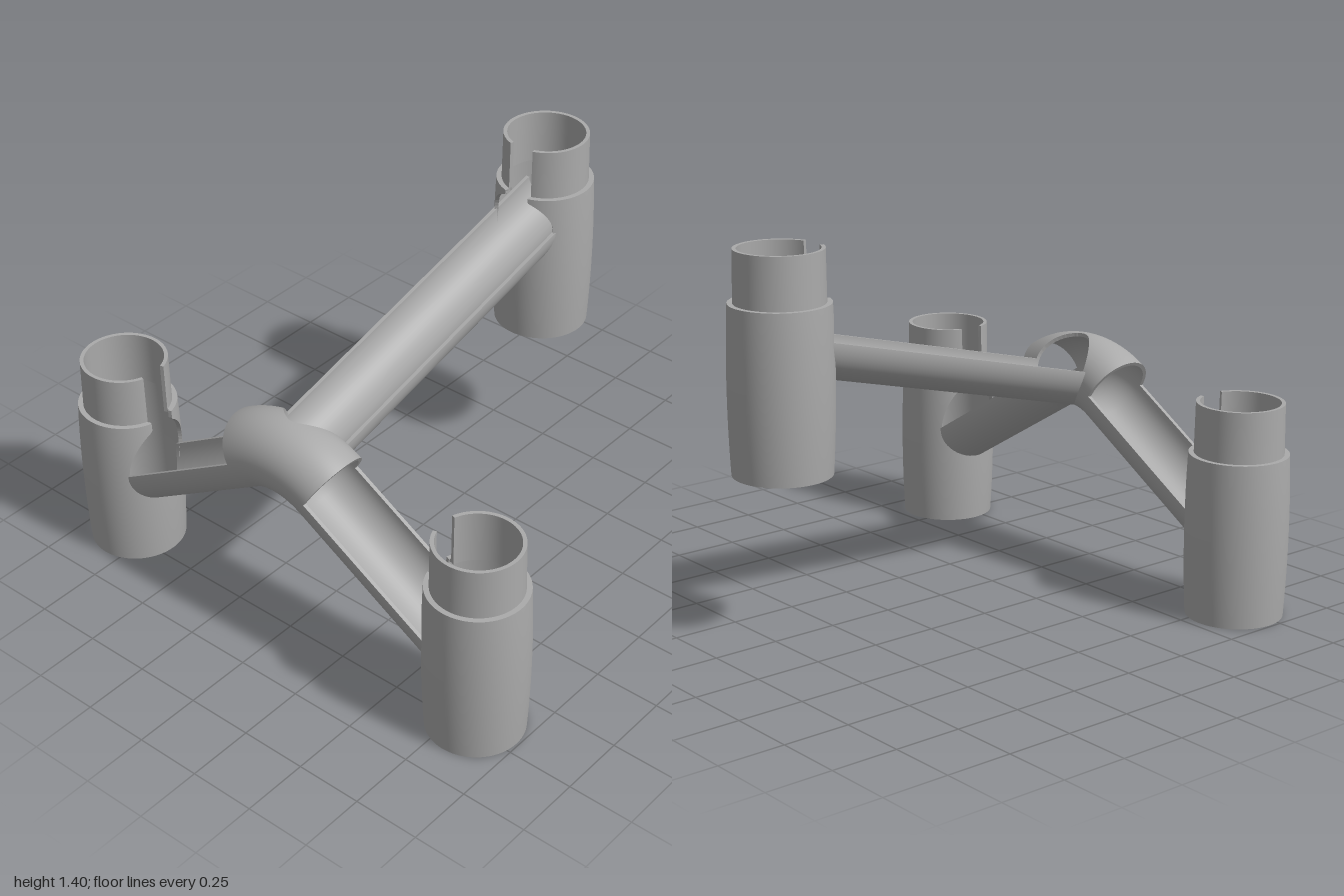
import * as THREE from 'three';

const V = (x, y, z) => new THREE.Vector3(x, y, z);
const WALL = 0.014;
const UP = V(0, 1, 0);

// Cut a polygon, keeping the side where keep(p) >= 0
function clip(poly, keep) {
  const out = [];
  poly.forEach((a, i) => {
    const b = poly[(i + 1) % poly.length];
    const fa = keep(a.p), fb = keep(b.p);
    if (fa >= 0) out.push(a);
    if ((fa >= 0) !== (fb >= 0)) {
      const t = fa / (fa - fb);
      out.push({ p: a.p.clone().lerp(b.p, t), n: a.n.clone().lerp(b.n, t).normalize() });
    }
  });
  return out;
}

// Walled shell: outer surface point(u, v), trimmed by the cuts, with inner skin and rims
function shell(point, nu, nv, cuts = []) {
  const pos = [], nor = [], edges = new Map();
  const h = 1e-4;
  const sample = (i, j) => {
    const u = i / nu, v = j / nv;
    const du = point(u + h, v).sub(point(u - h, v));
    const dv = point(u, v + h).sub(point(u, v - h));
    return { p: point(u, v), n: du.cross(dv).normalize() };
  };
  const put = (p, n) => { pos.push(p.x, p.y, p.z); nor.push(n.x, n.y, n.z); };
  const inner = (a) => a.p.clone().addScaledVector(a.n, -WALL);
  const key = (a) => a.p.toArray().map((c) => Math.round(c * 2e4)).join();

  const grid = [];
  for (let i = 0; i <= nu; i++) {
    grid.push([]);
    for (let j = 0; j <= nv; j++) grid[i].push(sample(i, j));
  }
  for (let i = 0; i < nu; i++) for (let j = 0; j < nv; j++) {
    const a = grid[i][j], b = grid[i + 1][j], c = grid[i + 1][j + 1], d = grid[i][j + 1];
    for (const tri of [[a, b, c], [a, c, d]]) {
      const poly = cuts.reduce((q, f) => clip(q, f), tri);
      for (let k = 1; k + 1 < poly.length; k++) {
        const t = [poly[0], poly[k], poly[k + 1]];
        t.forEach((s) => put(s.p, s.n));
        [t[0], t[2], t[1]].forEach((s) => put(inner(s), s.n.clone().negate()));
      }
      poly.forEach((s, k) => {
        const e = poly[(k + 1) % poly.length], ks = key(s), ke = key(e);
        if (ks !== ke) edges.set(ks + '|' + ke, [s, e, ke + '|' + ks]);
      });
    }
  }
  // Rims along every open edge
  for (const [a, b, opposite] of edges.values()) {
    if (edges.has(opposite)) continue;
    const a2 = inner(a), b2 = inner(b);
    const n = a.p.clone().sub(b.p).cross(a2.clone().sub(b.p)).normalize();
    [b.p, a.p, a2, b.p, a2, b2].forEach((p) => put(p, n));
  }
  const g = new THREE.BufferGeometry();
  g.setAttribute('position', new THREE.Float32BufferAttribute(pos, 3));
  g.setAttribute('normal', new THREE.Float32BufferAttribute(nor, 3));
  return g;
}

export function createModel() {
  const model = new THREE.Group();
  const grey = new THREE.MeshStandardMaterial({ color: 0xaaaaaa });
  grey.name = 'grey plastic';
  const add = (parent, name, geometry) => {
    const mesh = new THREE.Mesh(geometry, grey);
    mesh.name = name;
    parent.add(mesh);
  };

  const Z = 0.705, PIPE = 0.14;
  const BEND = 0.34, BEND_Y = 0.41, ANGLE = THREE.MathUtils.degToRad(31);

  const axisDistance = (arm, p) => p.clone().sub(arm.start).cross(arm.dir).length();
  const cupRadius = (arm, p) => Math.hypot(p.x - arm.cup.x, p.z - arm.cup.z);
  const facing = (arm, p) => p.clone().sub(arm.cup).dot(arm.inward);
  const bendDistance = (p) => Math.hypot(Math.hypot(p.x, p.y - BEND_Y) - BEND, p.z - Z);

  // Arms run from the hub to a cup
  const sideArm = (s) => ({
    name: s > 0 ? 'left' : 'right',
    start: V(s * BEND * Math.sin(ANGLE), BEND_Y + BEND * Math.cos(ANGLE), Z),
    dir: V(s * Math.cos(ANGLE), -Math.sin(ANGLE), 0),
    length: 0.72, radius: PIPE,
    cup: V(s * 0.814, 0, Z), inward: V(-s, 0, 0),
  });
  const rear = {
    name: 'rear',
    start: V(0, 0.755, Z),
    dir: V(0, 0.25, -1).normalize(),
    length: 1.68, radius: 0.143,
    cup: V(0, 0.607, -Z), inward: V(0, 0, 1),
  };
  const arms = [sideArm(1), sideArm(-1), rear];

  // Half-pipe troughs; the rear one runs on inside its cup as a sloping floor
  for (const arm of arms) {
    const side = UP.clone().cross(arm.dir).normalize();
    const up = arm.dir.clone().cross(side);
    const trough = (u, v) => {
      const a = v * Math.PI;
      return arm.start.clone()
        .addScaledVector(arm.dir, u * arm.length)
        .addScaledVector(side, arm.radius * Math.cos(a))
        .addScaledVector(up, -arm.radius * Math.sin(a));
    };
    const cuts = arm === rear
      ? [(p) => bendDistance(p) - 0.13, (p) => Math.max(facing(arm, p), 0.162 - cupRadius(arm, p))]
      : [(p) => cupRadius(arm, p) - 0.172];
    add(model, arm.name + 'Trough', shell(trough, 80, 24, cuts));
  }

  // Bent pipe hub, open at the back where the rear trough enters
  const bend = (u, v) => {
    const a = (u * 2 - 1) * ANGLE, b = v * Math.PI * 2;
    const r = BEND + PIPE * Math.cos(b);
    return V(r * Math.sin(a), BEND_Y + r * Math.cos(a), Z - PIPE * Math.sin(b));
  };
  add(model, 'hub', shell(bend, 40, 64, [
    (p) => Math.max(axisDistance(rear, p) - 0.13, p.z - Z),
  ]));

  // Sockets: bulged body, flat shoulder and narrower neck, with a pipe hole and a slot
  const profiles = {
    Body: [(v) => [0.177 + 0.003 * v + 0.032 * v * (1 - v), 0.605 * v], 40],
    Shoulder: [(v) => [0.18 - 0.03 * v, 0.605], 4],
    Neck: [(v) => [0.161 - 0.003 * v, 0.592 + 0.2 * v], 16],
  };
  for (const arm of arms) {
    const socket = new THREE.Group();
    socket.name = arm.name + 'Socket';
    model.add(socket);
    const opening = (p) => {
      const s = facing(arm, p);
      const across = Math.abs(arm.inward.x ? p.z - arm.cup.z : p.x - arm.cup.x);
      const t = p.clone().sub(arm.start).dot(arm.dir);
      const axisY = arm.start.y + arm.dir.y * t;
      const slot = Math.max(across - 0.05, axisY - p.y);
      return Math.max(-s, Math.min(axisDistance(arm, p) - 0.136, slot));
    };
    for (const [part, [profile, rows]] of Object.entries(profiles)) {
      const lathe = (u, v) => {
        const a = u * Math.PI * 2, [r, y] = profile(v);
        return V(arm.cup.x + r * Math.sin(a), arm.cup.y + y, arm.cup.z + r * Math.cos(a));
      };
      add(socket, arm.name + part, shell(lathe, 96, rows, [opening]));
    }
  }
  return model;
}
